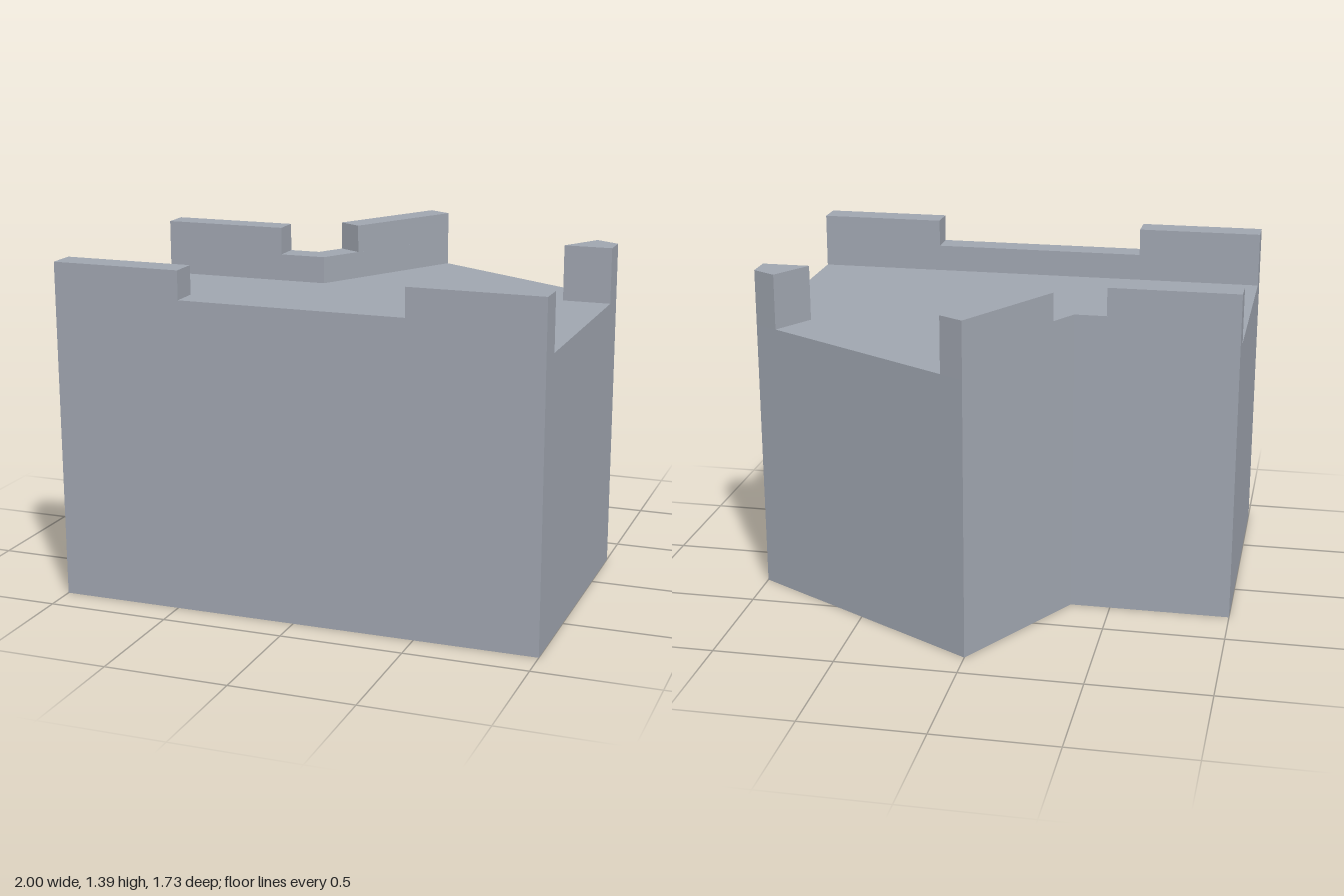
import * as THREE from 'three';
import { mergeGeometries } from 'three/addons/utils/BufferGeometryUtils.js';

const stone = new THREE.MeshStandardMaterial({ color: 0xa0a6b0, side: THREE.DoubleSide });
stone.name = 'grey stone';

// Walls and a top over an [x, z] outline, counter-clockwise from above, open below
function openPrism(name, outline, y0, y1) {
  const walls = [];
  outline.forEach(([ax, az], i) => {
    const [bx, bz] = outline[(i + 1) % outline.length];
    walls.push(ax, y0, az, bx, y0, bz, bx, y1, bz, ax, y0, az, bx, y1, bz, ax, y1, az);
  });
  const sides = new THREE.BufferGeometry();
  sides.setAttribute('position', new THREE.Float32BufferAttribute(walls, 3));
  sides.computeVertexNormals();

  const shape = new THREE.Shape(outline.map(([x, z]) => new THREE.Vector2(x, -z)));
  const top = new THREE.ShapeGeometry(shape).toNonIndexed();
  top.deleteAttribute('uv');
  top.rotateX(-Math.PI / 2).translate(0, y1, 0);

  const mesh = new THREE.Mesh(mergeGeometries([sides, top]), stone);
  mesh.name = name;
  return mesh;
}

const strip = (x0, x1, z0, z1) => [[x0, z1], [x1, z1], [x1, z0], [x0, z0]];

export function createModel() {
  const group = new THREE.Group();
  group.name = 'battlementBlock';
  const floor = 1.155, sill = 1.27, top = 1.387;
  const front = 0.866, back = -0.289, inFront = 0.75, inBack = -0.176;
  const add = (...args) => group.add(openPrism(...args));

  // Hollow body with the roof deck
  add('body', [[-1, front], [1, front], [1, back], [0, -front], [-0.333, back], [-1, back]], 0, floor);

  // Front parapet with a notch in the middle
  add('frontParapet', strip(-1, 1, inFront, front), floor, sill);
  add('frontMerlonRight', strip(-1, -0.465, inFront, front), sill, top);
  add('frontMerlonLeft', strip(0.46, 1, inFront, front), sill, top);

  // Back parapet bending round the inner corner, notched at the bend
  add('backParapet', [[-1, inBack], [-0.267, inBack], [0.098, -0.81], [0, -front],
    [-0.333, back], [-1, back]], floor, sill);
  add('backMerlonStraight', strip(-1, -0.465, back, inBack), sill, top);
  add('backMerlonDiagonal', [[-0.268, -0.402], [-0.17, -0.345], [0.098, -0.81], [0, -front]], sill, top);

  // Lone corner post
  add('cornerMerlon', [[0.8, inBack], [1, inBack], [1, back], [0.9, -0.347]], floor, top);

  return group;
}
